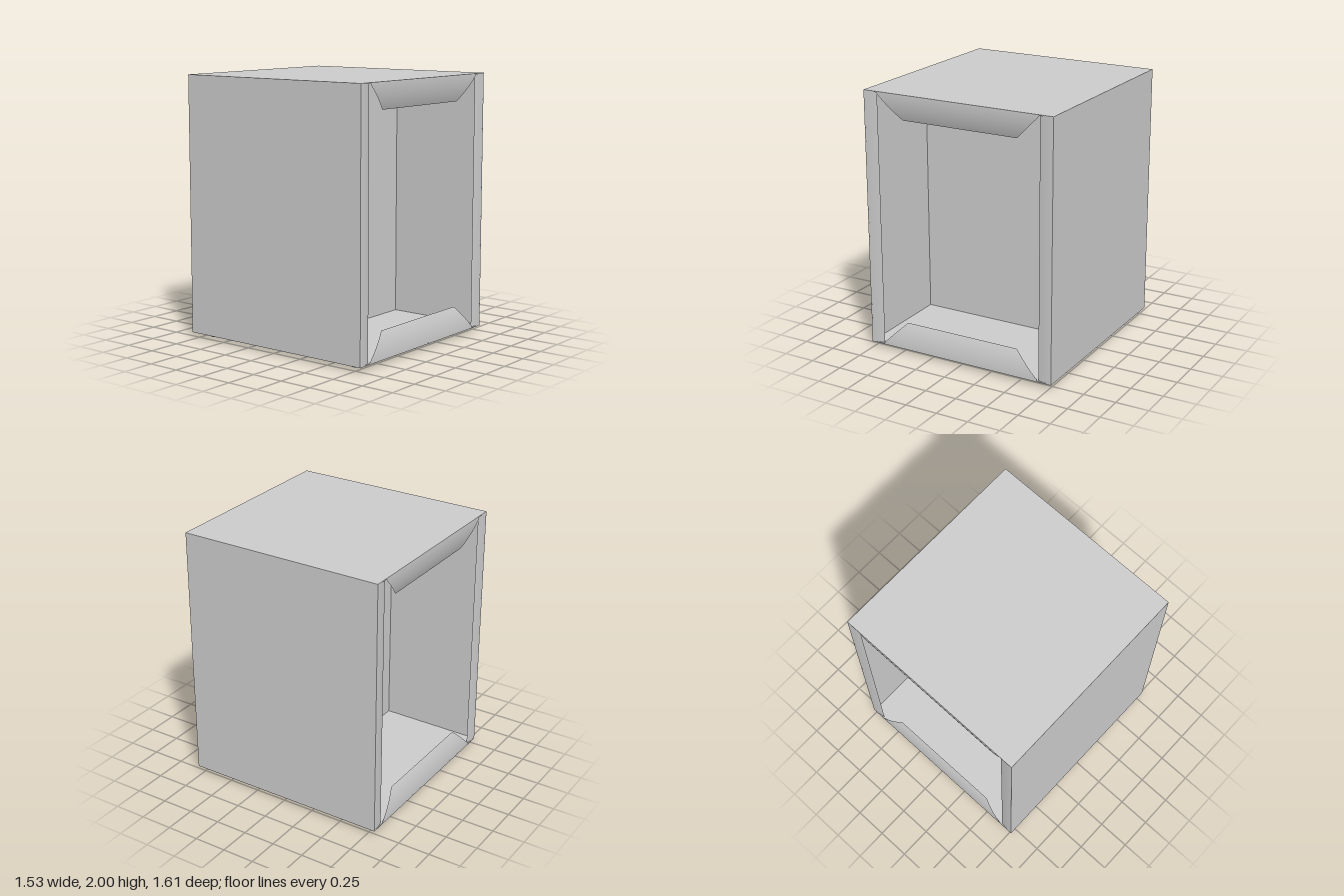
import * as THREE from 'three';

const W = 1.535, D = 1.61, BOTTOM = 0.035, TOP = 2, WALL = 0.008, BEND = 0.47;
const MID = (TOP + BOTTOM) / 2, H = TOP - BOTTOM;

const sheet = new THREE.MeshStandardMaterial({ color: 0xcccccc, side: THREE.DoubleSide });

function add(parent, name, geometry) {
  const mesh = new THREE.Mesh(geometry, sheet);
  mesh.name = name;
  parent.add(mesh);
  return mesh;
}

// Curved sheet that starts at an outer edge and bends gently into the cabinet.
// halfWidth(s) gives its half width at distance s from that edge.
function flangeGeometry(reach, halfWidth) {
  const g = new THREE.PlaneGeometry(2, 1, 1, 20);
  const p = g.attributes.position;
  for (let i = 0; i < p.count; i++) {
    const s = (0.5 - p.getY(i)) * reach;
    const a = s / BEND;
    p.setXYZ(i, p.getX(i) * halfWidth(s), -BEND * Math.sin(a), -BEND * (1 - Math.cos(a)));
  }
  g.computeVertexNormals();
  return g;
}

// The four flanges framing one open end
function openingFrame(name) {
  const frame = new THREE.Group();
  frame.name = name;
  const mitred = flangeGeometry(0.206, s => Math.min(0.655, 0.465 + 0.206 - s));
  const straight = flangeGeometry(0.108, () => H / 2);
  const z = D / 2;

  add(frame, 'topFlange', mitred).position.set(0, TOP, z);
  const lower = add(frame, 'bottomFlange', mitred);
  lower.position.set(0, BOTTOM, z);
  lower.rotation.z = Math.PI;

  for (const side of [1, -1]) {
    const strip = add(frame, side > 0 ? 'leftFlange' : 'rightFlange', straight);
    strip.position.set(side * W / 2, MID, z);
    strip.rotation.z = -side * Math.PI / 2;
  }
  return frame;
}

export function createModel() {
  const model = new THREE.Group();
  model.name = 'cabinet';

  // Thin-walled tube, open at both ends
  const outline = new THREE.Shape();
  outline.moveTo(-W / 2, BOTTOM).lineTo(W / 2, BOTTOM).lineTo(W / 2, TOP).lineTo(-W / 2, TOP).closePath();
  const x = W / 2 - WALL, y0 = BOTTOM + WALL, y1 = TOP - WALL;
  const hole = new THREE.Path();
  hole.moveTo(-x, y0).lineTo(-x, y1).lineTo(x, y1).lineTo(x, y0).closePath();
  outline.holes.push(hole);
  const tube = new THREE.ExtrudeGeometry(outline, { depth: D, bevelEnabled: false });
  tube.translate(0, 0, -D / 2);
  add(model, 'shell', tube);

  // Panel across the middle
  const divider = add(model, 'divider', new THREE.BoxGeometry(W - 2 * WALL, H - 2 * WALL, WALL));
  divider.position.y = MID;

  // Matching frames at the front and back
  const back = openingFrame('backFrame');
  back.rotation.y = Math.PI;
  model.add(openingFrame('frontFrame'), back);

  // Round feet with softened lower edges
  const footProfile = [[0, 0], [0.034, 0], [0.04, 0.003], [0.043, 0.009], [0.043, 0.027], [0.038, 0.036]]
    .map(([r, y]) => new THREE.Vector2(r, y));
  const footGeometry = new THREE.LatheGeometry(footProfile, 32);
  for (const sx of [1, -1]) {
    for (const sz of [1, -1]) {
      add(model, 'foot', footGeometry).position.set(sx * 0.645, 0, sz * 0.682);
    }
  }
  return model;
}
